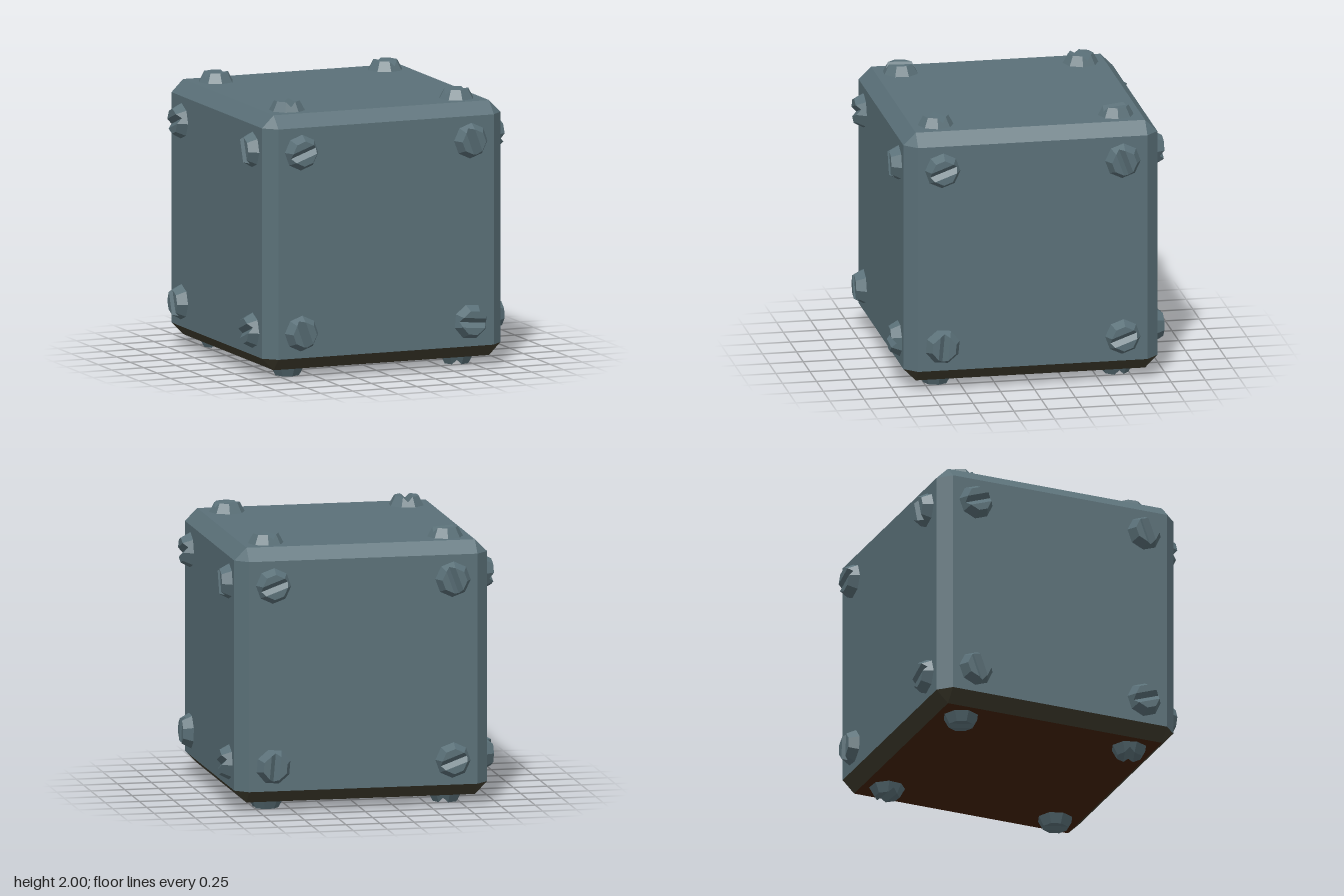
import * as THREE from 'three';
import { toCreasedNormals } from 'three/addons/utils/BufferGeometryUtils.js';

const HALF = 0.93, INNER = 0.84; // body half size and edge of the flat panels

const steel = new THREE.MeshStandardMaterial({ color: 0x5a7078 });
steel.name = 'blue grey steel';
const olive = new THREE.MeshStandardMaterial({ color: 0x403d2f });
olive.name = 'dark olive rim';
const brown = new THREE.MeshStandardMaterial({ color: 0x432209 });
brown.name = 'dark brown base';

// Turns convex polygons (corners counter-clockwise) into a geometry
function fromPolygons(polygons) {
  const points = [];
  for (const p of polygons) {
    for (let i = 1; i < p.length - 1; i++) points.push(p[0], p[i], p[i + 1]);
  }
  const geometry = new THREE.BufferGeometry().setFromPoints(points);
  geometry.computeVertexNormals();
  return geometry;
}

// The 24 corners of the bevelled cube
function bodyCorners() {
  const corners = [];
  for (let axis = 0; axis < 3; axis++) {
    for (const x of [-1, 1]) for (const y of [-1, 1]) for (const z of [-1, 1]) {
      const p = new THREE.Vector3(x, y, z).multiplyScalar(INNER);
      p.setComponent(axis, Math.sign(p.getComponent(axis)) * HALF);
      corners.push(p);
    }
  }
  return corners;
}

// The face of the bevelled cube that looks along a direction
function faceAlong(direction, corners) {
  const reach = Math.max(...corners.map((p) => p.dot(direction)));
  const face = corners.filter((p) => p.dot(direction) > reach - 1e-4);
  const centre = face.reduce((sum, p) => sum.add(p), new THREE.Vector3()).divideScalar(face.length);
  const u = face[0].clone().sub(centre).normalize();
  const v = direction.clone().normalize().cross(u);
  const angle = (p) => {
    const d = p.clone().sub(centre);
    return Math.atan2(d.dot(v), d.dot(u));
  };
  return face.sort((a, b) => angle(a) - angle(b));
}

// Bevelled cube: panels, edge bevels and corner triangles, sorted by colour
function createBody() {
  const corners = bodyCorners();
  const sides = [], rim = [], base = [];
  for (const x of [-1, 0, 1]) for (const y of [-1, 0, 1]) for (const z of [-1, 0, 1]) {
    if (!x && !y && !z) continue;
    const list = y >= 0 ? sides : x || z ? rim : base;
    list.push(faceAlong(new THREE.Vector3(x, y, z), corners));
  }
  const body = new THREE.Group();
  body.name = 'body';
  for (const [name, list, material] of [
    ['bodyPanels', sides, steel], ['lowerBevel', rim, olive], ['bottomPanel', base, brown],
  ]) {
    const mesh = new THREE.Mesh(fromPolygons(list), material);
    mesh.name = name;
    body.add(mesh);
  }
  return body;
}

// Tapered eight-sided screw head with a V-shaped slot along its local x axis
function screwGeometry() {
  const ring = (radius, z) => Array.from({ length: 8 }, (_, i) => {
    const a = (i - 0.5) * Math.PI / 4;
    return new THREE.Vector3(Math.cos(a) * radius, Math.sin(a) * radius, z);
  });
  const height = 0.07, depth = 0.035;
  const b = ring(0.13, 0), t = ring(0.092, height);
  // Slot ends lie on the tapered sides
  const endX = THREE.MathUtils.lerp(t[0].x, b[0].x, depth / height);
  const right = new THREE.Vector3(endX, 0, height - depth);
  const left = new THREE.Vector3(-endX, 0, height - depth);
  const polygons = [
    [t[1], t[2], t[3], t[4]], [t[5], t[6], t[7], t[0]], // two halves of the cap
    [t[1], t[4], left, right], [t[5], t[0], right, left], // slot walls
  ];
  for (let i = 0; i < 8; i++) {
    const j = (i + 1) % 8;
    const notch = i === 0 ? right : i === 4 ? left : null;
    if (notch) polygons.push([notch, t[i], b[i], b[j], t[j]]);
    else polygons.push([b[i], b[j], t[j], t[i]]);
  }
  return toCreasedNormals(fromPolygons(polygons), THREE.MathUtils.degToRad(40));
}

export function createModel() {
  const model = new THREE.Group();
  model.name = 'boltedCube';
  const cube = new THREE.Group();
  cube.name = 'cube';
  cube.position.y = 1;
  model.add(cube);
  cube.add(createBody());

  // Each side: turn about x and y, then slot angles for upper left, upper right, lower left, lower right
  const q = Math.PI / 2;
  const faces = [
    ['front', 0, 0, [20, 110, 110, -5]],
    ['left', 0, q, [20, 110, 85, 20]],
    ['back', 0, 2 * q, [20, 110, 85, 20]],
    ['right', 0, -q, [20, 110, 110, 20]],
    ['top', -q, 0, [20, 110, 85, 20]],
    ['bottom', q, 0, [20, 110, 110, -5]],
  ];
  const geometry = screwGeometry();
  for (const [name, turnX, turnY, slots] of faces) {
    const side = new THREE.Group();
    side.name = name + 'Screws';
    side.rotation.set(turnX, turnY, 0);
    slots.forEach((degrees, i) => {
      const screw = new THREE.Mesh(geometry, steel);
      screw.name = 'screw';
      screw.position.set(i % 2 ? 0.66 : -0.66, i < 2 ? 0.66 : -0.66, HALF);
      screw.rotation.z = THREE.MathUtils.degToRad(degrees);
      side.add(screw);
    });
    cube.add(side);
  }
  return model;
}
